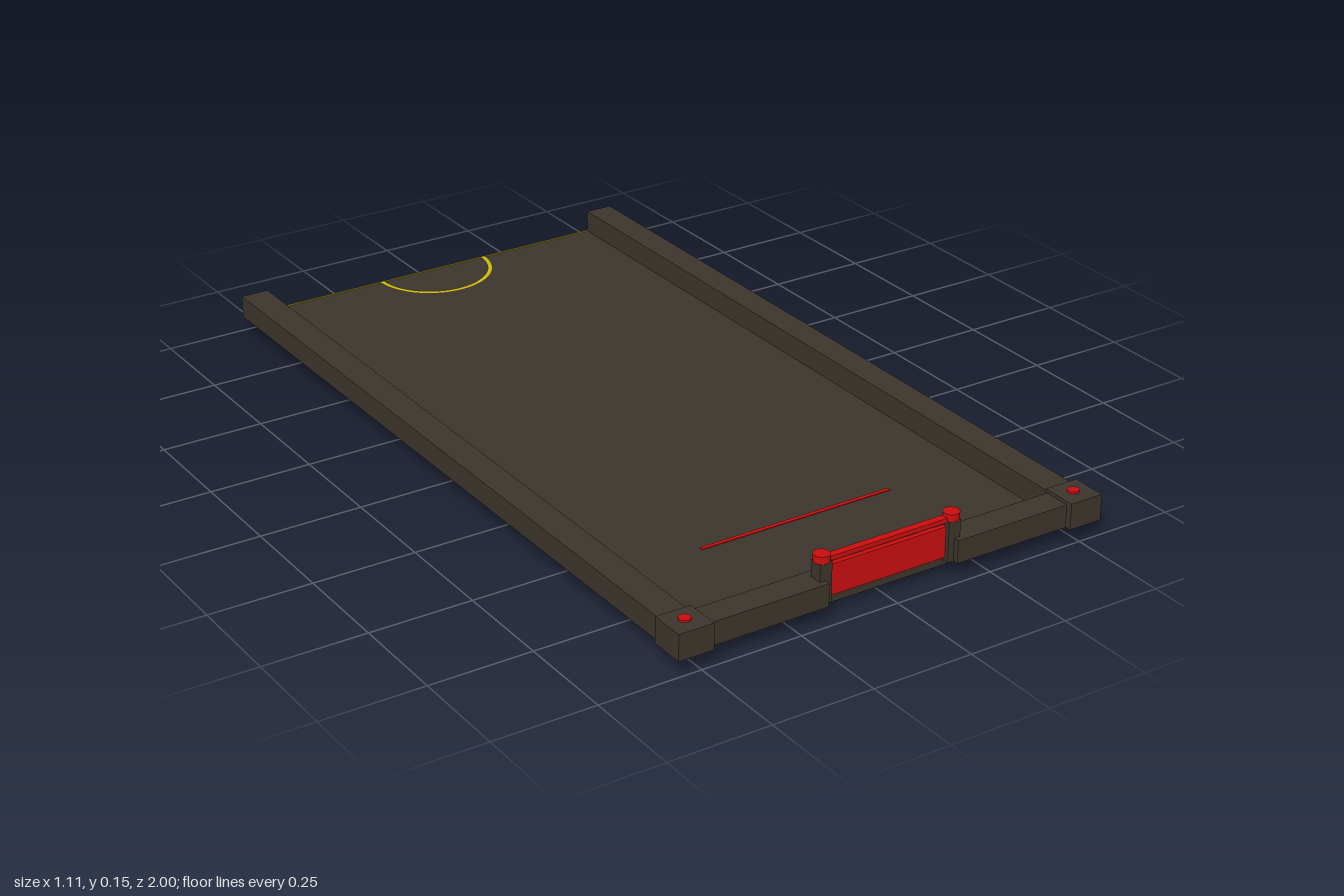
import * as THREE from 'three';

export function createModel() {
  const model = new THREE.Group();
  const material = (name, color) => {
    const m = new THREE.MeshStandardMaterial({ color });
    m.name = name;
    return m;
  };
  const stone = material('dark stone', 0x3d352d);
  const red = material('red', 0xcc0e0e);
  const yellow = material('yellow', 0xccba0c);

  const add = (name, geometry, mat) => {
    const mesh = new THREE.Mesh(geometry, mat);
    mesh.name = name;
    model.add(mesh);
    return mesh;
  };
  // Box given by its lower and upper limits on each axis
  const box = (name, mat, [x0, x1], [y0, y1], [z0, z1]) =>
    add(name, new THREE.BoxGeometry(x1 - x0, y1 - y0, z1 - z0), mat)
      .position.set((x0 + x1) / 2, (y0 + y1) / 2, (z0 + z1) / 2);
  const disc = (name, mat, r, x, y0, y1, z) =>
    add(name, new THREE.CylinderGeometry(r, r, y1 - y0, 24), mat)
      .position.set(x, (y0 + y1) / 2, z);

  const floorY = 0.037;
  const gateZ = 0.955;

  // Floor slab, rounded at the two front corners (shape y becomes -z)
  const w = 0.478, front = -0.92, r = 0.03;
  const outline = new THREE.Shape();
  outline.moveTo(-w, 1);
  outline.lineTo(-w, front + r);
  outline.quadraticCurveTo(-w, front, -w + r, front);
  outline.lineTo(w - r, front);
  outline.quadraticCurveTo(w, front, w, front + r);
  outline.lineTo(w, 1);
  outline.closePath();
  const slab = new THREE.ExtrudeGeometry(outline, { depth: floorY, bevelEnabled: false, curveSegments: 6 });
  slab.rotateX(-Math.PI / 2);
  add('floor', slab, stone);

  for (const s of [-1, 1]) {
    const side = s > 0 ? 'left' : 'right';
    const span = (a, b) => (s > 0 ? [a, b] : [-b, -a]);
    // Walls and corner blocks
    box(`${side}Wall`, stone, span(0.476, 0.547), [floorY, 0.093], [-1, 0.915]);
    box(`${side}FrontWall`, stone, span(0.17, 0.475), [floorY, 0.093], [0.918, 0.985]);
    box(`${side}CornerBlock`, stone, span(0.47, 0.557), [floorY, 0.101], [0.913, 1]);
    disc(`${side}CornerStud`, red, 0.014, s * 0.513, 0.1, 0.106, gateZ);
    // Gate posts
    box(`${side}GatePost`, stone, span(0.154, 0.185), [floorY, 0.135], [gateZ - 0.016, gateZ + 0.016]);
    disc(`${side}PostCap`, red, 0.019, s * 0.171, 0.134, 0.152, gateZ);
  }

  // Gate panel and top bar
  box('gatePanel', red, [-0.155, 0.155], [0.046, 0.121], [gateZ - 0.006, gateZ + 0.006]);
  box('gateBar', red, [-0.165, 0.165], [0.132, 0.143], [gateZ - 0.009, gateZ + 0.009]);

  // Floor markings
  const markY = [floorY - 0.001, floorY + 0.002];
  box('redLine', red, [-0.255, 0.255], markY, [0.627, 0.637]);
  box('centreLine', yellow, [-0.476, 0.476], markY, [-1, -0.997]);
  const arc = new THREE.RingGeometry(0.144, 0.156, 48, 1, Math.PI, Math.PI);
  arc.rotateX(-Math.PI / 2);
  add('centreArc', arc, yellow).position.set(0, floorY + 0.002, -1);

  return model;
}
